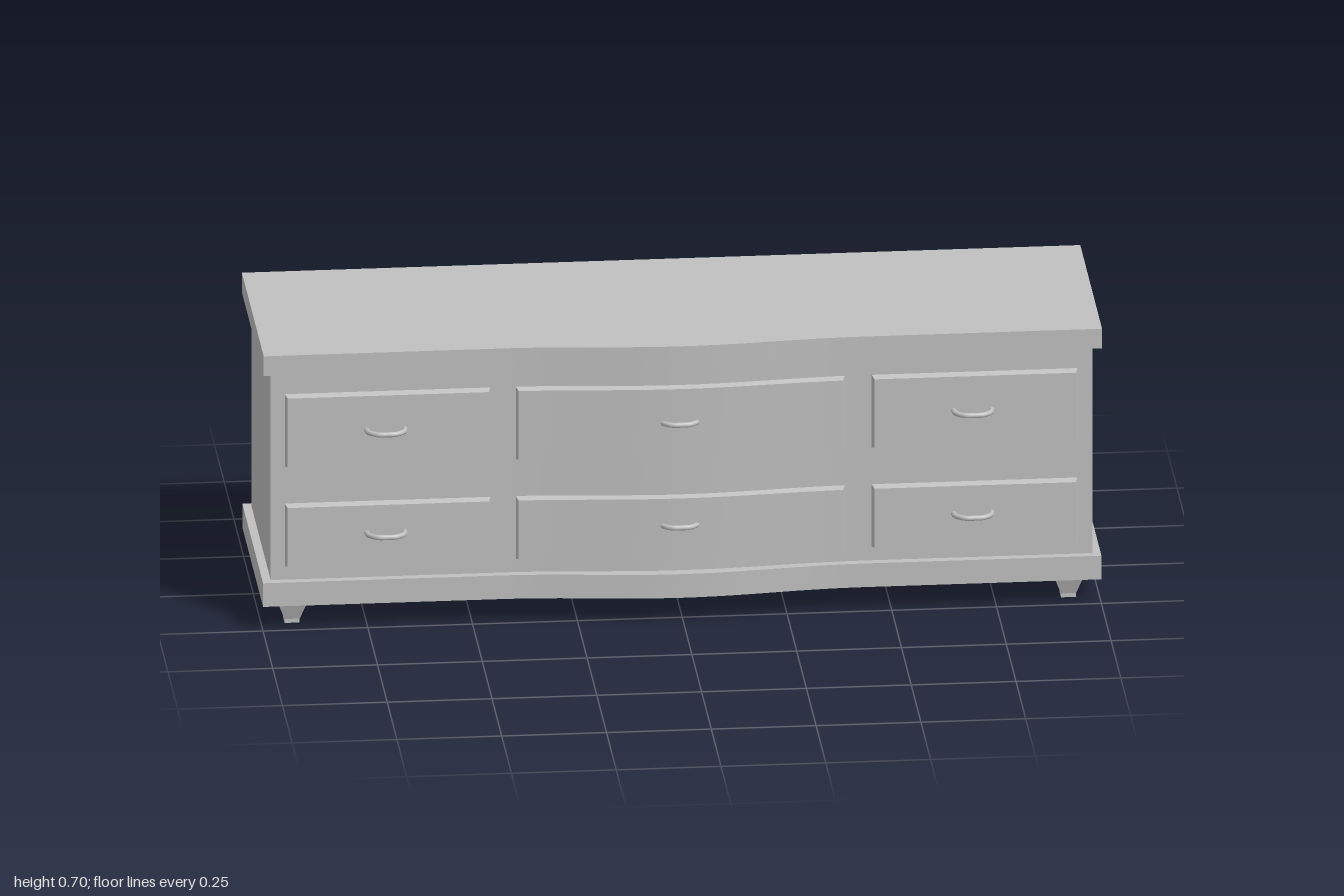
import * as THREE from 'three';

const BOW = 0.43; // half width of the bowed middle section

// Smooth swell of the front, 1 at the centre and 0 outside the middle section
const swell = (x) => (Math.abs(x) < BOW ? 0.5 + 0.5 * Math.cos((Math.PI * x) / BOW) : 0);

// Box between two heights and depths; the front bows out and may be bevelled inwards
function bowedBox(x0, x1, y0, y1, z0, z1, bow, bevel = 0, bowBack = false) {
  const w = x1 - x0, h = y1 - y0;
  const g = new THREE.BoxGeometry(w, h, z1 - z0, bow ? 48 : 1, 1, 1);
  g.translate((x0 + x1) / 2, (y0 + y1) / 2, (z0 + z1) / 2);
  const p = g.attributes.position;
  for (let i = 0; i < p.count; i++) {
    let x = p.getX(i), y = p.getY(i), z = p.getZ(i);
    const front = z > (z0 + z1) / 2;
    if (front) {
      x += ((x0 + x1) / 2 - x) * (2 * bevel / w);
      y += ((y0 + y1) / 2 - y) * (2 * bevel / h);
    }
    if (front || bowBack) z += bow * swell(x);
    p.setXYZ(i, x, y, z);
  }
  g.computeVertexNormals();
  return g;
}

export function createModel() {
  const group = new THREE.Group();
  const grey = new THREE.MeshStandardMaterial({ color: 0xc0c0c0 });
  grey.name = 'plain grey';

  const add = (name, geometry) => {
    const mesh = new THREE.Mesh(geometry, grey);
    mesh.name = name;
    group.add(mesh);
    return mesh;
  };

  // Carcass
  add('topBoard', bowedBox(-1, 1, 0.655, 0.705, -0.293, 0.268, 0.025));
  add('cabinetBody', bowedBox(-0.98, 0.98, 0.122, 0.655, -0.256, 0.232, 0.024));
  add('plinth', bowedBox(-1, 1, 0.062, 0.122, -0.283, 0.252, 0.031));

  // Drawer fronts: two rows of three, the middle ones following the bow
  const rows = [{ y0: 0.155, y1: 0.316, handle: 0.241 }, { y0: 0.408, y1: 0.594, handle: 0.502 }];
  const columns = [
    { x0: -0.947, x1: -0.455, bow: 0, handle: -0.707 },
    { x0: -0.396, x1: 0.39, bow: 0.022, handle: -0.007 },
    { x0: 0.453, x1: 0.945, bow: 0, handle: 0.693 },
  ];

  // Curved pull handle
  const pull = new THREE.CatmullRomCurve3([
    [-0.046, 0.245], [-0.042, 0.266], [-0.022, 0.284], [0, 0.286],
    [0.022, 0.284], [0.042, 0.266], [0.046, 0.245],
  ].map(([x, z]) => new THREE.Vector3(x, 0, z)));
  const pullGeometry = new THREE.TubeGeometry(pull, 24, 0.0065, 8);

  for (const r of rows) {
    for (const c of columns) {
      add('drawerFront', bowedBox(c.x0, c.x1, r.y0, r.y1, 0.23, 0.249, c.bow, 0.006, true));
      add('handle', pullGeometry).position.set(c.handle, r.handle, 0);
    }
  }

  // Tapered square feet with a short straight toe
  const s = Math.SQRT1_2 * 2; // half side to corner radius
  const footProfile = [[0, 0], [0.018, 0], [0.018, 0.01], [0.037, 0.062], [0, 0.062]]
    .map(([r, y]) => new THREE.Vector2(r * s, y));
  const footGeometry = new THREE.LatheGeometry(footProfile, 4, Math.PI / 4).toNonIndexed();
  footGeometry.computeVertexNormals();
  for (const x of [-0.926, 0.926]) {
    for (const z of [0.183, -0.198]) add('foot', footGeometry).position.set(x, 0, z);
  }

  return group;
}
